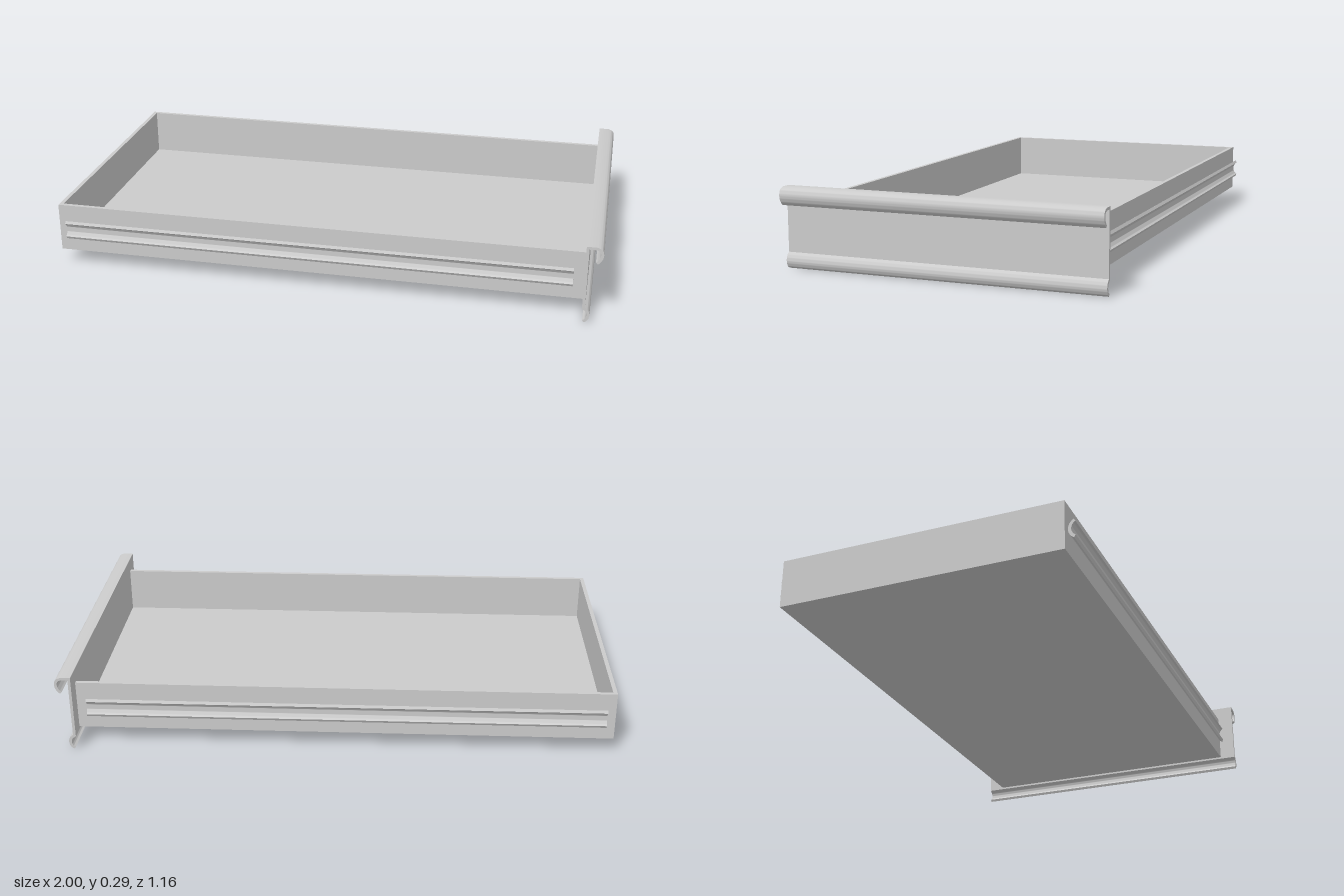
import * as THREE from 'three';
import { toCreasedNormals } from 'three/addons/utils/BufferGeometryUtils.js';

const material = new THREE.MeshStandardMaterial({ color: 0xcccccc });

function add(group, name, geometry, x = 0, y = 0, z = 0) {
  const mesh = new THREE.Mesh(geometry, material);
  mesh.name = name;
  mesh.position.set(x, y, z);
  group.add(mesh);
  return mesh;
}

// Extrudes a shape along z, centred, smooth on curves and sharp at corners
function extrude(shape, depth) {
  const g = new THREE.ExtrudeGeometry(shape, { depth, bevelEnabled: false, curveSegments: 24 });
  g.translate(0, 0, -depth / 2);
  return toCreasedNormals(g, 0.6);
}

// Thickens a centreline into a sheet-metal section with mitred corners
function sheetShape(line, thickness) {
  const normal = (a, b) => {
    const d = b.clone().sub(a).normalize();
    return new THREE.Vector2(-d.y, d.x);
  };
  const left = [], right = [];
  line.forEach((p, i) => {
    const n1 = normal(line[Math.max(i - 1, 0)], line[Math.max(i, 1)]);
    const last = line.length - 1;
    const n2 = normal(line[Math.min(i, last - 1)], line[Math.min(i + 1, last)]);
    const m = n1.clone().add(n2).normalize();
    m.multiplyScalar(thickness / 2 / m.dot(n1));
    left.push(p.clone().add(m));
    right.push(p.clone().sub(m));
  });
  return new THREE.Shape([...left, ...right.reverse()]);
}

const spline = (points, n) =>
  new THREE.SplineCurve(points.map(([x, y]) => new THREE.Vector2(x, y))).getPoints(n);

export function createModel() {
  const model = new THREE.Group();
  model.name = 'drawer';

  // Open tray
  const x0 = -1, x1 = 0.94, y0 = 0.06, y1 = 0.24, halfZ = 0.522;
  const wall = 0.015, floor = 0.008, len = x1 - x0, h = y1 - y0;
  const midX = (x0 + x1) / 2, midY = (y0 + y1) / 2;
  add(model, 'trayFloor', new THREE.BoxGeometry(len, floor, halfZ * 2), midX, y0 + floor / 2, 0);
  add(model, 'trayEndWall', new THREE.BoxGeometry(wall, h, (halfZ - wall) * 2), x0 + wall / 2, midY, 0);

  // Side walls, each with a curved runner channel opening outward
  const angle = THREE.MathUtils.degToRad(61), outer = 0.04, inner = 0.029;
  const channel = new THREE.Shape();
  channel.absarc(0, 0, outer, Math.PI - angle, Math.PI + angle, false);
  channel.absarc(0, 0, inner, Math.PI + angle, Math.PI - angle, true);
  const runner = extrude(channel, 1.87);
  for (const side of [1, -1]) {
    const name = side > 0 ? 'front' : 'back';
    add(model, name + 'SideWall', new THREE.BoxGeometry(len, h, wall), midX, midY, side * (halfZ - wall / 2));
    const rail = add(model, name + 'Runner', runner, -0.033, 0.15, side * (halfZ + outer - 0.001));
    rail.rotation.y = -side * Math.PI / 2;
  }

  // Face panel with a hooked grip on top and a curled lower lip
  const grip = spline([[0.978, 0.23], [0.99, 0.244], [0.995, 0.262], [0.99, 0.278], [0.975, 0.285]], 20);
  const lip = spline([[0.945, 0.055], [0.957, 0.045], [0.962, 0.03], [0.957, 0.013], [0.946, 0.005]], 20);
  const section = sheetShape([...grip, new THREE.Vector2(0.945, 0.285), ...lip], 0.01);
  add(model, 'facePanel', extrude(section, 1.165));

  return model;
}
